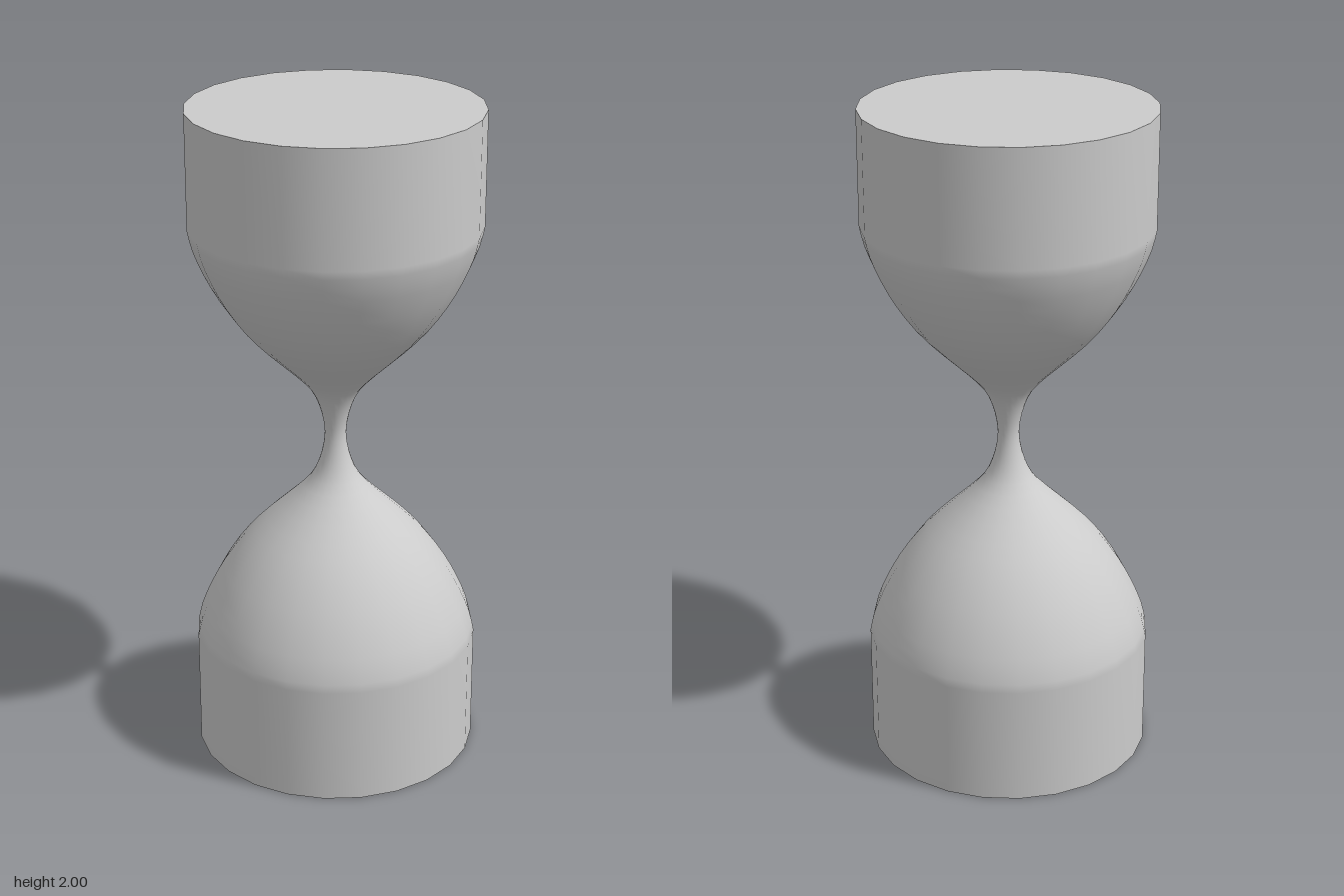
import * as THREE from 'three';

const SIDES = 24;
const RADIUS = 0.427;
const WAIST_Y = 1.01;

export function createModel() {
  const model = new THREE.Group();
  model.name = 'hourglass';
  const material = new THREE.MeshStandardMaterial({ color: 0xcccccc });

  const add = (name, geometry) => {
    const mesh = new THREE.Mesh(geometry, material);
    mesh.name = name;
    model.add(mesh);
    return mesh;
  };

  // Half profile as [radius, height above the waist], mirrored for the lower bulb
  const half = [
    [0.032, 0], [0.036, 0.04], [0.049, 0.09], [0.075, 0.143], [0.128, 0.2],
    [0.21, 0.277], [0.28, 0.352], [0.34, 0.437], [0.382, 0.515], [0.413, 0.59], [RADIUS, 0.65],
  ];
  const curve = new THREE.SplineCurve([
    ...half.slice(1).reverse().map(([r, h]) => new THREE.Vector2(r, WAIST_Y - h)),
    ...half.map(([r, h]) => new THREE.Vector2(r, WAIST_Y + h)),
  ]);

  // Glass wall: straight ends joined by the curved bulbs and the narrow neck
  const profile = [
    new THREE.Vector2(RADIUS, 0),
    ...curve.getPoints(40),
    new THREE.Vector2(RADIUS, 2),
  ];
  add('glassBulbs', new THREE.LatheGeometry(profile, SIDES));

  // Flat end caps
  const cap = new THREE.CircleGeometry(RADIUS, SIDES);
  const top = add('topCap', cap);
  top.rotation.x = -Math.PI / 2;
  top.position.y = 2;
  add('bottomCap', cap).rotation.x = Math.PI / 2;

  return model;
}
